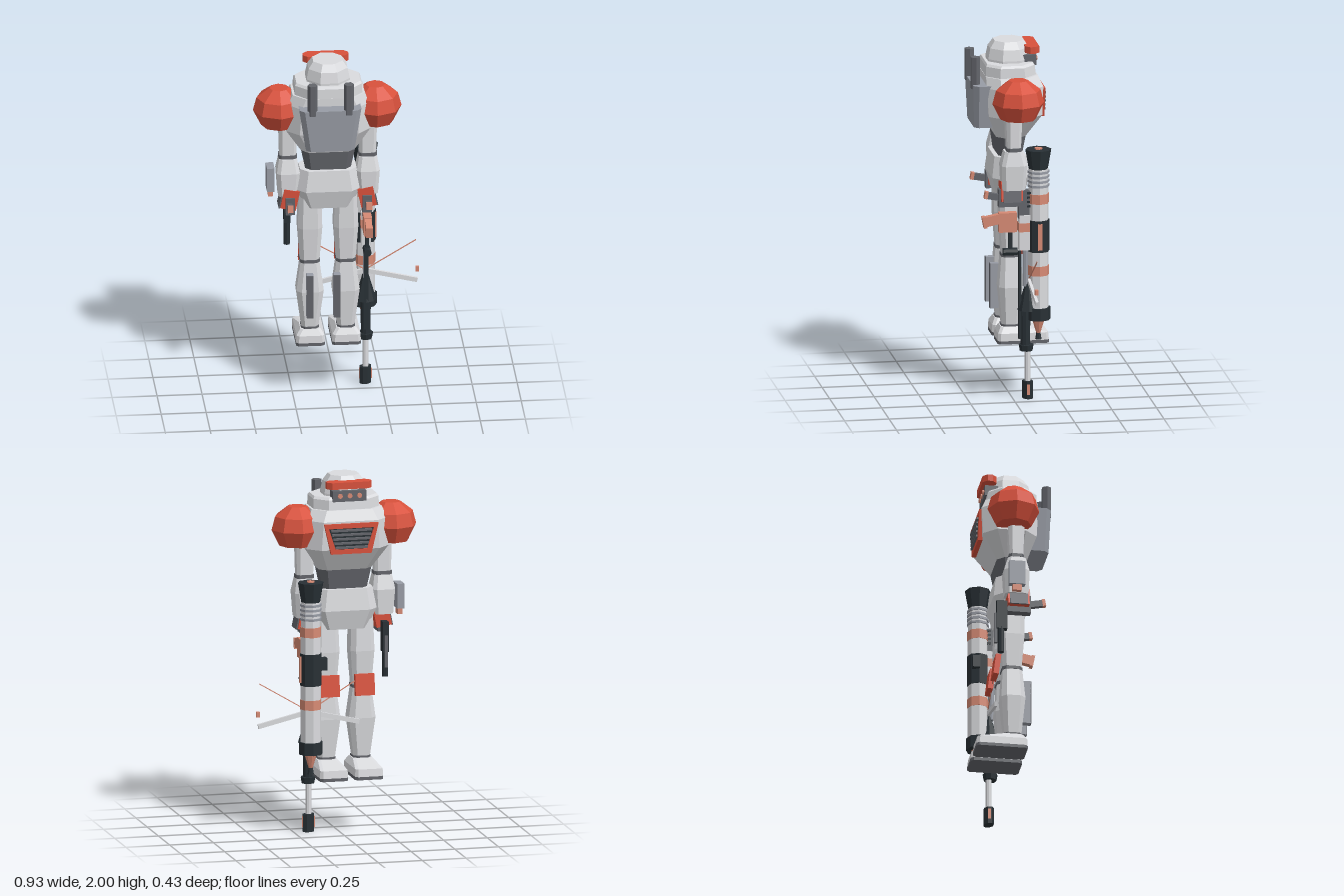
import * as THREE from 'three';

const mat = (name, color) => {
  const m = new THREE.MeshStandardMaterial({ color, flatShading: true });
  m.name = name;
  return m;
};

export function createModel() {
  const light = mat('lightGrey', 0xdadbde), mid = mat('midGrey', 0x989ca5), dark = mat('darkGrey', 0x63656b);
  const black = mat('black', 0x283035), red = mat('red', 0xd8513c), orange = mat('paleOrange', 0xd68a74);

  const model = new THREE.Group();
  model.name = 'armouredWalker';
  const body = new THREE.Group();
  body.name = 'body';
  body.position.x = -0.053;
  model.add(body);

  const add = (parent, name, geo, m, x = 0, y = 0, z = 0, rx = 0, ry = 0, rz = 0) => {
    const mesh = new THREE.Mesh(geo, m);
    mesh.name = name;
    mesh.position.set(x, y, z);
    mesh.rotation.set(rx, ry, rz);
    parent.add(mesh);
    return mesh;
  };
  const box = (w, h, d) => new THREE.BoxGeometry(w, h, d);
  const cyl = (rTop, rBottom, h, n = 8) => new THREE.CylinderGeometry(rTop, rBottom, h, n);
  const lathe = (pts) => new THREE.LatheGeometry(pts.map(p => new THREE.Vector2(...p)), 8);

  // Stack of chamfered rectangles: [y, half width, z min, z max, chamfer], bottom to top
  function loft(sections) {
    const rings = sections.map(([y, w, a, b, c]) => [
      [w - c, b], [w, b - c], [w, a + c], [w - c, a], [c - w, a], [-w, a + c], [-w, b - c], [c - w, b],
    ].map(([x, z]) => [x, y, z]));
    const pos = [];
    const tri = (...p) => p.forEach(v => pos.push(...v));
    const top = rings[rings.length - 1], low = rings[0];
    for (let i = 0; i < 8; i++) {
      const j = (i + 1) % 8;
      for (let k = 0; k < rings.length - 1; k++) {
        const r = rings[k], s = rings[k + 1];
        tri(r[i], r[j], s[j]);
        tri(r[i], s[j], s[i]);
      }
      if (i > 0 && i < 7) {
        tri(top[0], top[i], top[j]);
        tri(low[0], low[j], low[i]);
      }
    }
    const g = new THREE.BufferGeometry();
    g.setAttribute('position', new THREE.Float32BufferAttribute(pos, 3));
    g.computeVertexNormals();
    return g;
  }

  // Head, brow and eyes (face looks to -z)
  add(body, 'headDome', lathe([[0, 1.87], [0.13, 1.87], [0.13, 1.9], [0.117, 1.96], [0.088, 2], [0, 2]]), light, 0, 0, -0.011, 0, Math.PI / 8);
  add(body, 'brow', loft([[1.94, 0.127, -0.168, -0.09, 0.025], [1.978, 0.127, -0.168, -0.09, 0.025]]), red);
  add(body, 'faceBlock', box(0.19, 0.06, 0.08), dark, 0, 1.897, -0.113);
  for (const x of [-0.055, 0, 0.055]) add(body, 'eye', cyl(0.014, 0.014, 0.012), orange, x, 1.9, -0.157, Math.PI / 2);

  // Torso
  add(body, 'collar', loft([[1.79, 0.188, -0.15, 0.135, 0.07], [1.875, 0.186, -0.14, 0.132, 0.07], [1.888, 0.178, -0.13, 0.125, 0.07]]), light);
  add(body, 'chest', loft([[1.47, 0.15, -0.09, 0.075, 0.04], [1.6, 0.235, -0.175, 0.125, 0.07],
    [1.76, 0.225, -0.182, 0.135, 0.07], [1.82, 0.2, -0.155, 0.135, 0.07]]), light);
  add(body, 'waist', loft([[1.35, 0.125, -0.07, 0.06, 0.03], [1.47, 0.15, -0.09, 0.075, 0.04]]), dark);
  add(body, 'hips', loft([[1.13, 0.125, -0.08, 0.07, 0.03], [1.24, 0.178, -0.11, 0.1, 0.05], [1.36, 0.157, -0.095, 0.085, 0.045]]), light);

  // Chest grille
  const outline = (s, p) => {
    [[-0.115, 1.58], [0.115, 1.58], [0.155, 1.75], [-0.155, 1.75]].forEach(([x, y], i) => {
      const px = x - Math.sign(x) * s, py = y + (i < 2 ? s : -s);
      i ? p.lineTo(px, py) : p.moveTo(px, py);
    });
    p.closePath();
    return p;
  };
  const frame = outline(0, new THREE.Shape());
  frame.holes.push(outline(0.026, new THREE.Path()));
  add(body, 'grilleFrame', new THREE.ExtrudeGeometry(frame, { depth: 0.025, bevelEnabled: false }), red, 0, 0, -0.195);
  add(body, 'grilleBack', new THREE.ExtrudeGeometry(outline(0.01, new THREE.Shape()), { depth: 0.008, bevelEnabled: false }), black, 0, 0, -0.187);
  for (let i = 0; i < 5; i++) add(body, 'grilleSlat', box(0.185 + i * 0.012, 0.011, 0.02), dark, 0, 1.617 + i * 0.024, -0.194);

  // Backpack with two posts
  add(body, 'backpack', loft([[1.53, 0.135, 0.06, 0.2, 0.025], [1.775, 0.172, 0.08, 0.208, 0.028]]), mid);
  for (const s of [-1, 1]) add(body, 'backpackPost', cyl(0.028, 0.028, 0.18, 6), dark, s * 0.101, 1.84, 0.19, 0, Math.PI / 6);

  // Arms and legs
  for (const s of [-1, 1]) {
    const arm = new THREE.Group();
    arm.name = s < 0 ? 'rightArm' : 'leftArm';
    arm.position.x = s * 0.222;
    body.add(arm);
    add(arm, 'shoulderPad', lathe([[0, 1.61], [0.1, 1.61], [0.145, 1.7], [0.125, 1.775], [0.053, 1.83], [0, 1.83]]), red, s * 0.046, 0, -0.022);
    add(arm, 'upperArm', loft([[1.43, 0.046, -0.04, 0.035, 0.015], [1.66, 0.052, -0.05, 0.045, 0.02]]), light);
    add(arm, 'elbowBand', loft([[1.42, 0.051, -0.045, 0.04, 0.015], [1.44, 0.051, -0.045, 0.04, 0.015]]), dark);
    add(arm, 'forearm', loft([[1.2, 0.054, -0.065, 0.065, 0.02], [1.34, 0.064, -0.072, 0.07, 0.02], [1.42, 0.05, -0.05, 0.05, 0.018]]), light);
    add(arm, 'handGuard', box(0.088, 0.115, 0.12), red, s * -0.008, 1.186, 0.01, 0, 0, s * 0.2);
    add(arm, 'guardPlate', box(0.008, 0.08, 0.1), dark, s * 0.043, 1.172, 0.01, 0, 0, s * 0.2);
    add(arm, 'hand', box(0.05, 0.1, 0.13), dark, s * -0.008, 1.15, 0.017);

    const leg = new THREE.Group();
    leg.name = s < 0 ? 'rightLeg' : 'leftLeg';
    leg.position.x = s * 0.1;
    body.add(leg);
    add(leg, 'thigh', loft([[0.8, 0.053, -0.06, 0.045, 0.02], [1.0, 0.068, -0.075, 0.06, 0.025], [1.2, 0.062, -0.065, 0.06, 0.025]]), light);
    add(leg, 'kneeBand', loft([[0.79, 0.056, -0.063, 0.05, 0.02], [0.808, 0.056, -0.063, 0.05, 0.02]]), dark);
    add(leg, 'shin', loft([[0.4, 0.047, -0.05, 0.045, 0.02], [0.62, 0.076, -0.07, 0.065, 0.028], [0.79, 0.053, -0.06, 0.05, 0.02]]), light);
    add(leg, 'kneePad', box(0.11, 0.12, 0.03), red, 0, 0.815, -0.093, 0.12);
    const finX = s < 0 ? -0.005 : -0.055;
    add(leg, 'calfFin', box(0.038, 0.255, 0.045), mid, finX, 0.607, 0.076);
    add(leg, 'calfFinFace', box(0.038, 0.255, 0.004), dark, finX, 0.607, 0.1);
    add(leg, 'ankleBand', loft([[0.385, 0.05, -0.055, 0.05, 0.02], [0.405, 0.05, -0.055, 0.05, 0.02]]), dark);
    add(leg, 'sole', loft([[0.3, 0.08, -0.212, 0.075, 0.015], [0.318, 0.08, -0.212, 0.075, 0.015]]), dark);
    add(leg, 'foot', loft([[0.318, 0.08, -0.212, 0.075, 0.015], [0.36, 0.078, -0.207, 0.073, 0.015], [0.394, 0.055, -0.06, 0.055, 0.015]]), light);
  }

  // Box on the outside of the right forearm
  add(body, 'wristBox', box(0.042, 0.14, 0.09), mid, -0.318, 1.295, -0.01);
  add(body, 'wristBoxTip', box(0.026, 0.035, 0.05), orange, -0.318, 1.207, -0.01);

  // Sidearm in the right hand, pointing down
  const sidearm = new THREE.Group();
  sidearm.name = 'sidearm';
  sidearm.position.x = -0.272;
  model.add(sidearm);
  add(sidearm, 'sidearmBody', box(0.034, 0.17, 0.06), black, 0, 1.08, -0.08);
  add(sidearm, 'sidearmBarrel', cyl(0.018, 0.018, 0.15), black, 0, 0.93, -0.085);
  add(sidearm, 'sidearmRail', box(0.016, 0.18, 0.018), dark, 0, 1.0, -0.113);
  add(sidearm, 'sidearmGrip', box(0.028, 0.036, 0.23), dark, 0, 1.145, 0.04, -0.2);
  add(sidearm, 'sidearmGripTip', box(0.032, 0.04, 0.018), orange, 0, 1.169, 0.155, -0.2);

  // Long rifle in the left hand, muzzle down
  const rifle = new THREE.Group();
  rifle.name = 'rifle';
  rifle.position.x = 0.165;
  model.add(rifle);
  add(rifle, 'muzzle', cyl(0.036, 0.036, 0.1), black, 0, 0.05, -0.083, 0, Math.PI / 8).scale.z = 0.75;
  add(rifle, 'muzzleSlot', box(0.07, 0.06, 0.016), orange, 0, 0.055, -0.083);
  add(rifle, 'barrel', cyl(0.017, 0.017, 0.2), light, 0, 0.19, -0.083);
  add(rifle, 'barrelFlange', cyl(0.042, 0.036, 0.035), black, 0, 0.29, -0.075);
  add(rifle, 'barrelShroud', cyl(0.03, 0.026, 0.25), black, 0, 0.42, -0.07);
  add(rifle, 'shroudCone', cyl(0.014, 0.06, 0.16), black, 0, 0.585, -0.085);
  add(rifle, 'foreRod', cyl(0.016, 0.016, 0.22), mid, 0, 0.75, -0.07);
  add(rifle, 'foreRail', box(0.024, 0.5, 0.016), black, 0, 0.59, -0.04);
  add(rifle, 'receiver', box(0.055, 0.2, 0.075), light, 0, 0.95, -0.07);
  add(rifle, 'receiverBand', box(0.06, 0.05, 0.08), orange, 0, 0.98, -0.07);
  add(rifle, 'stock', box(0.045, 0.16, 0.06), dark, 0, 1.11, -0.06);
  for (let i = 0; i < 4; i++) add(rifle, 'stockRib', box(0.05, 0.012, 0.03), black, 0, 1.1 + i * 0.025, -0.09);
  add(rifle, 'magazine', box(0.045, 0.11, 0.1), orange, 0, 1.01, 0.03);
  add(rifle, 'magazineArm', box(0.036, 0.055, 0.1), orange, 0, 1.025, 0.11, 0.2);
  add(rifle, 'magazineTip', box(0.04, 0.065, 0.018), orange, 0, 1.014, 0.16, 0.2);
  add(rifle, 'grip', box(0.03, 0.036, 0.12), dark, 0, 1.155, 0.085, -0.2);
  add(rifle, 'gripTip', box(0.034, 0.04, 0.018), orange, 0, 1.169, 0.15, -0.2);
  add(rifle, 'scope', cyl(0.022, 0.022, 0.08), black, 0, 0.84, 0.015, Math.PI / 2);
  add(rifle, 'scopeMount', box(0.018, 0.13, 0.022), black, 0, 0.9, 0.015);

  // Folded-out bipod: flat bars and wires on both sides, end block on the outer one
  for (const s of [-1, 1]) {
    add(rifle, 'bipodBar', box(0.28, 0.026, 0.016), light, s * 0.152, 0.64, -0.088, 0, 0, s * -0.235);
    add(rifle, 'bipodWire', box(0.325, 0.005, 0.005), orange, s * 0.142, 0.765, -0.09, 0, 0, s * 0.54);
  }
  add(rifle, 'bipodBlock', box(0.02, 0.03, 0.018), orange, 0.288, 0.675, -0.085);

  // Launcher tube beside the left leg: [name, top radius, bottom radius, bottom y, top y, material]
  const launcher = new THREE.Group();
  launcher.name = 'launcher';
  launcher.position.set(0.167, 0, -0.143);
  model.add(launcher);
  [
    ['flareCore', 0.022, 0.022, 1.4, 1.427, orange],
    ['flare', 0.073, 0.054, 1.31, 1.42, black],
    ['upperTube', 0.056, 0.056, 1.17, 1.31, light],
    ['upperBand', 0.06, 0.06, 1.115, 1.17, orange],
    ['middleTube', 0.058, 0.058, 1.02, 1.115, light],
    ['gripSleeve', 0.062, 0.062, 0.84, 1.02, black],
    ['lowerTube', 0.058, 0.058, 0.76, 0.84, light],
    ['lowerBand', 0.06, 0.06, 0.705, 0.76, orange],
    ['bottomTube', 0.058, 0.058, 0.52, 0.705, light],
    ['bottomCap', 0.067, 0.067, 0.45, 0.52, black],
    ['warheadCone', 0.036, 0.012, 0.372, 0.45, orange],
    ['warheadTip', 0.012, 0.018, 0.335, 0.372, black],
  ].forEach(([n, a, b, y0, y1, m]) => add(launcher, n, cyl(a, b, y1 - y0), m, 0, (y0 + y1) / 2));
  for (let i = 0; i < 4; i++) add(launcher, 'coolingRing', cyl(0.062, 0.062, 0.013), mid, 0, 1.215 + i * 0.026);
  add(launcher, 'sight', box(0.04, 0.07, 0.04), black, -0.065, 0.96, -0.02);
  add(launcher, 'sleevePlate', box(0.008, 0.15, 0.025), orange, 0.06, 0.93, 0);

  return model;
}
